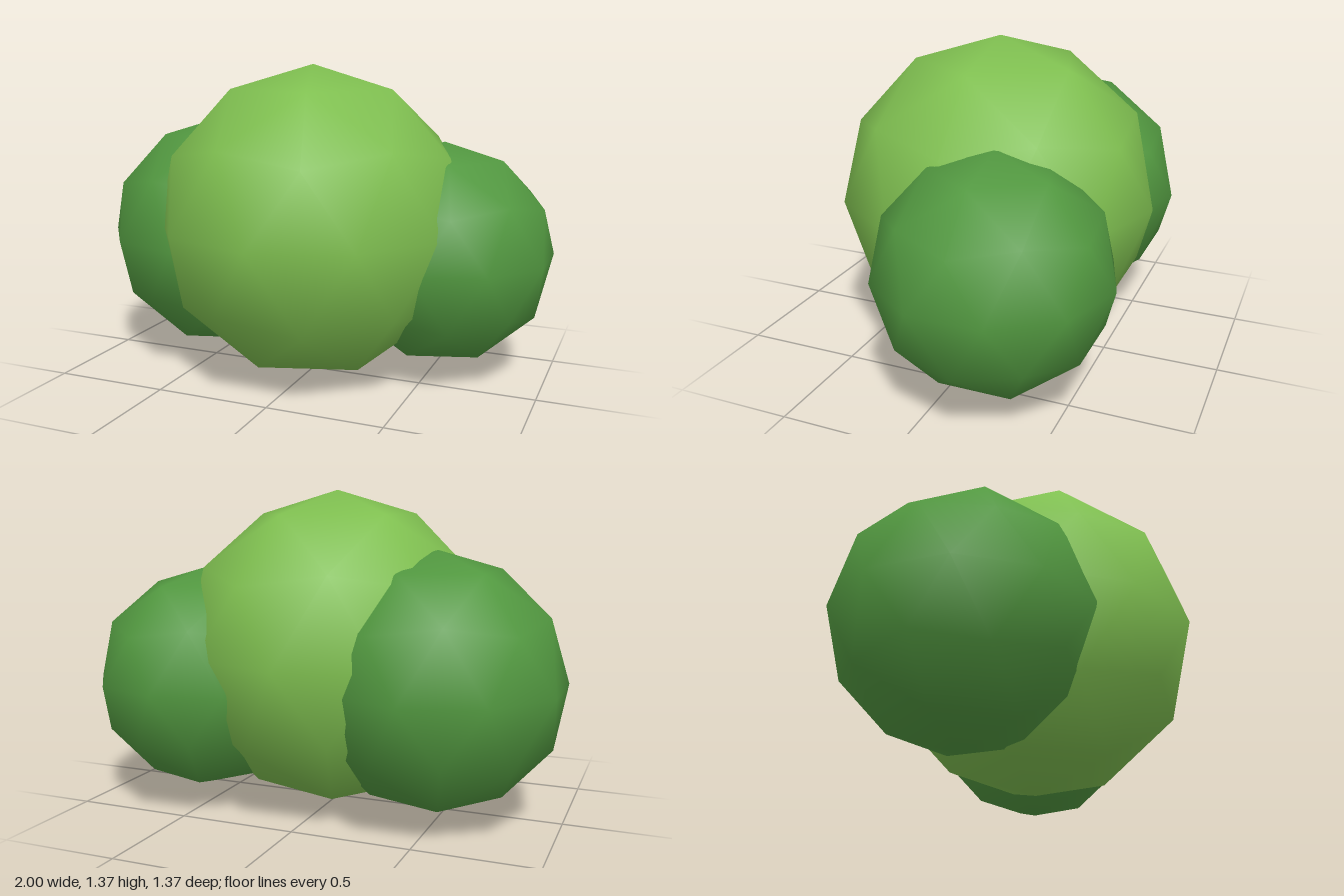
import * as THREE from 'three';

// Smooth low-poly ball: once-subdivided icosahedron standing on a vertex
function ball(name, radius, x, y, z, material) {
  const geometry = new THREE.IcosahedronGeometry(radius, 1);
  geometry.rotateZ(-Math.atan(2 / (1 + Math.sqrt(5))));
  const mesh = new THREE.Mesh(geometry, material);
  mesh.name = name;
  mesh.position.set(x, y, z);
  return mesh;
}

export function createModel() {
  const lightLeaf = new THREE.MeshStandardMaterial({ color: 0x7fbf50 });
  lightLeaf.name = 'light leaf green';
  const darkLeaf = new THREE.MeshStandardMaterial({ color: 0x529840 });
  darkLeaf.name = 'dark leaf green';

  const bush = new THREE.Group();
  bush.name = 'bush';
  bush.add(
    // Large middle clump
    ball('middleFoliage', 0.683, 0, 0.684, 0, lightLeaf),
    // Smaller clumps set back on either side
    ball('leftFoliage', 0.487, 0.535, 0.55, -0.197, darkLeaf),
    ball('rightFoliage', 0.54, -0.486, 0.584, -0.122, darkLeaf)
  );
  return bush;
}
